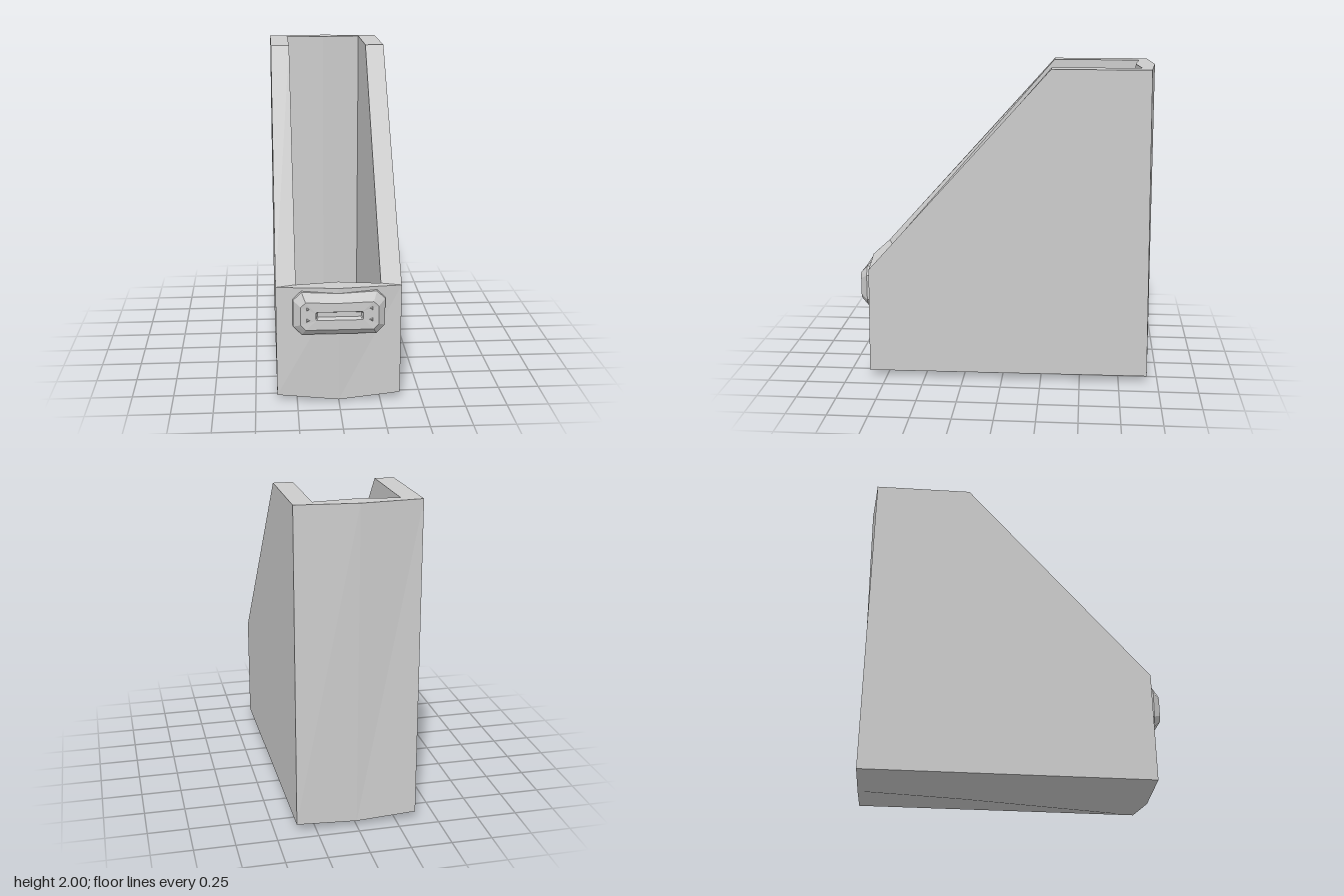
import * as THREE from 'three';

// Flat-shaded geometry from convex polygons, corners counter-clockwise from outside
function facesGeometry(faces) {
  const pos = [];
  for (const f of faces) {
    for (let i = 1; i < f.length - 1; i++) pos.push(...f[0], ...f[i], ...f[i + 1]);
  }
  const g = new THREE.BufferGeometry();
  g.setAttribute('position', new THREE.Float32BufferAttribute(pos, 3));
  g.computeVertexNormals();
  return g;
}

const mirrorX = (face) => face.map(([x, y, z]) => [-x, y, z]).reverse();

// Closed outline with cut corners and a slight dip at the top centre
function ring(w, bottom, top, cut, z, dip = 0, endZ = z) {
  return [
    [0, bottom, z], [w - cut, bottom, z], [w, bottom + cut, endZ], [w, top - cut, endZ],
    [w - cut, top, z], [0, top - dip, z], [cut - w, top, z], [-w, top - cut, endZ],
    [-w, bottom + cut, endZ], [cut - w, bottom, z],
  ];
}

export function createModel() {
  const group = new THREE.Group();
  group.name = 'magazineFile';
  const grey = new THREE.MeshStandardMaterial({ color: 0xcccccc });
  grey.name = 'plain grey';

  const add = (name, faces) => {
    const mesh = new THREE.Mesh(facesGeometry(faces), grey);
    mesh.name = name;
    group.add(mesh);
  };
  const addMirrored = (name, faces) => add(name, [...faces, ...faces.map(mirrorX)]);

  // Outer corners
  const bf = [0.37, 0.04, 0.86], bb = [0.37, 0.05, -0.93];
  const tb = [0.373, 2, -0.905], tf = [0.373, 2, -0.3], lf = [0.373, 0.72, 0.85];
  // Ridge points on the centre line
  const cbf = [0, 0.005, 0.87], cbm = [0, 0, -0.3], cbb = [0, 0.03, -0.93];
  const ctb = [0, 2, -0.94], clf = [0, 0.72, 0.89];
  // Inner corners and inner centre line
  const ib = [0.253, 2, -0.85], it = [0.253, 2, -0.3], il = [0.253, 0.72, 0.81];
  const ifl = [0.253, 0.12, 0.81], ibl = [0.253, 0.12, -0.85];
  const jb = [0, 2, -0.82], jl = [0, 0.72, 0.77], jfl = [0, 0.12, 0.77], jbl = [0, 0.12, -0.82];

  // Box shell with softly bulging front, back and base
  addMirrored('outerWalls', [
    [bf, bb, tb, tf, lf],
    [cbf, bf, lf, clf],
    [bb, cbb, ctb, tb],
  ]);
  addMirrored('base', [[bf, cbf, cbm, cbb, bb]]);
  addMirrored('rim', [
    [jb, ib, tb, ctb],
    [it, tf, tb, ib],
    [il, lf, tf, it],
    [clf, lf, il, jl],
  ]);
  addMirrored('innerWalls', [
    [ibl, ifl, il, it, ib],
    [jbl, ibl, ib, jb],
    [ifl, jfl, jl, il],
  ]);
  addMirrored('innerFloor', [[jfl, ifl, ibl, jbl]]);

  // Label holder: bevelled plaque with a recessed slot, lofted ring by ring
  const rings = [
    ring(0.275, 0.435, 0.7, 0.05, 0.85, 0.012),
    ring(0.272, 0.437, 0.7, 0.05, 0.89, 0.012, 0.885),
    ring(0.23, 0.48, 0.65, 0.03, 0.935, 0.006, 0.93),
    ring(0.14, 0.54, 0.59, 0.006, 0.935),
    ring(0.13, 0.55, 0.578, 0.005, 0.905),
  ];
  const holder = [];
  for (let r = 0; r < rings.length - 1; r++) {
    const a = rings[r], b = rings[r + 1];
    for (let i = 0; i < a.length; i++) {
      const k = (i + 1) % a.length;
      holder.push([a[i], a[k], b[k], b[i]]);
    }
  }
  holder.push(rings[rings.length - 1]);
  add('labelHolder', holder);

  // Small raised points beside the slot
  const marks = [];
  for (const y of [0.54, 0.61]) {
    const a = [0.175, y, 0.933], b = [0.195, y - 0.012, 0.933], c = [0.195, y + 0.012, 0.933];
    const tip = [0.19, y, 0.94];
    marks.push([a, b, tip], [b, c, tip], [c, a, tip]);
  }
  addMirrored('holderMarks', marks);

  return group;
}
